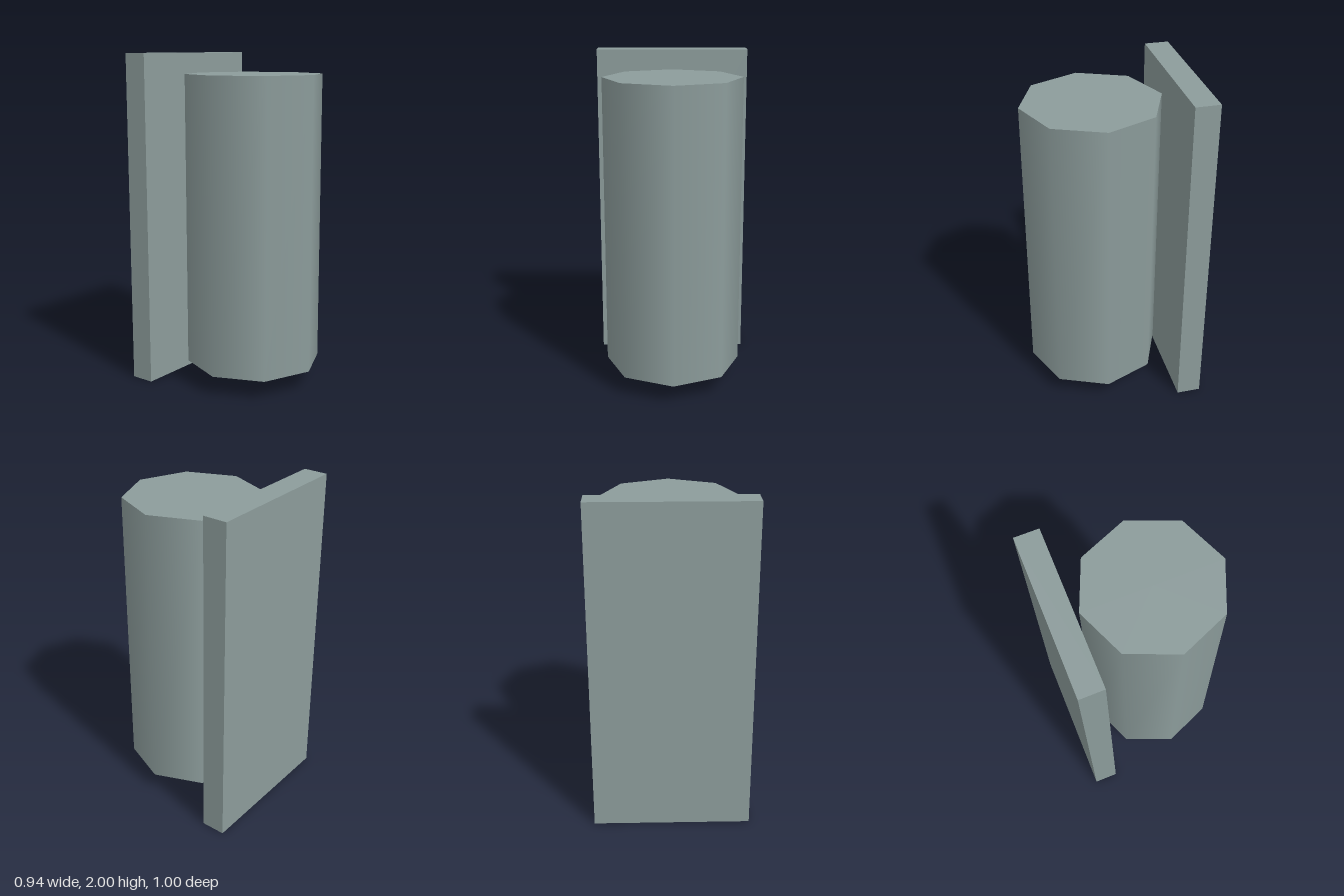
import * as THREE from 'three';

export function createModel() {
  const group = new THREE.Group();
  const shell = new THREE.MeshStandardMaterial({ color: 0x8c9c9b });
  shell.name = 'grey green metal';
  const lens = new THREE.MeshStandardMaterial({ color: 0xbebebb });
  lens.name = 'pale lens';

  function add(name, geometry, material, x, y, z) {
    const mesh = new THREE.Mesh(geometry, material);
    mesh.name = name;
    mesh.position.set(x, y, z);
    group.add(mesh);
  }

  // Upright slab behind the body
  add('backPlate', new THREE.BoxGeometry(0.94, 2, 0.145), shell, 0, 1, -0.4275);

  // Eight-sided body with smooth sides, held clear of the slab
  add('body', new THREE.CylinderGeometry(0.411, 0.411, 1.76, 8), shell, 0, 1, 0.088);

  // Thin pale disc set into the underside
  add('bottomLens', new THREE.CylinderGeometry(0.28, 0.28, 0.004, 8), lens, 0, 0.1212, 0.088);

  return group;
}
